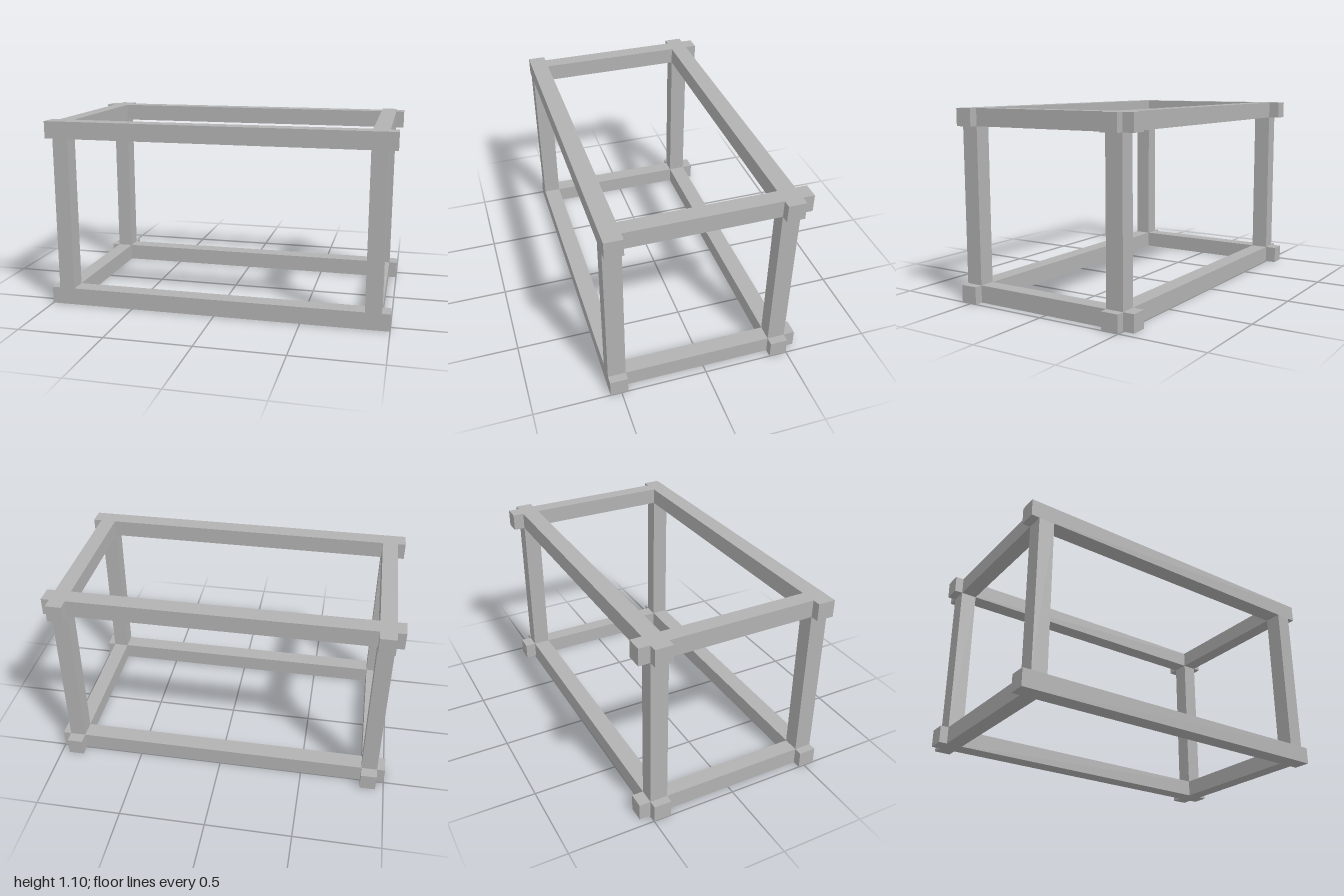
import * as THREE from 'three';

export function createModel() {
  const group = new THREE.Group();
  const grey = new THREE.MeshStandardMaterial({ color: 0xb2b2b2 });
  grey.name = 'grey';

  // box beam given by its extents on each axis
  const beam = (name, [x0, x1], [y0, y1], [z0, z1]) => {
    const mesh = new THREE.Mesh(new THREE.BoxGeometry(x1 - x0, y1 - y0, z1 - z0), grey);
    mesh.position.set((x0 + x1) / 2, (y0 + y1) / 2, (z0 + z1) / 2);
    mesh.name = name;
    group.add(mesh);
  };

  const levels = { lower: [0, 0.1], upper: [1, 1.1] };
  const rows = { front: [0.462, 0.564], back: [-0.498, -0.396] };
  const sides = { left: [0.86, 0.952], right: [-0.952, -0.86] };

  for (const [level, y] of Object.entries(levels)) {
    // long rails along the front and back
    for (const [row, z] of Object.entries(rows)) beam(`${level} ${row} rail`, [-1, 1], y, z);
    // cross rails, with short ends sticking out behind the back rail
    for (const [side, x] of Object.entries(sides)) {
      beam(`${level} ${side} cross rail`, x, y, [rows.back[1], rows.front[0]]);
      beam(`${level} ${side} cross rail end`, x, y, [-0.564, rows.back[0]]);
    }
  }

  // four posts between the lower and upper frames
  for (const [row, z] of Object.entries(rows))
    for (const [side, x] of Object.entries(sides))
      beam(`${row} ${side} post`, x, [levels.lower[1], levels.upper[0]], z);

  return group;
}
